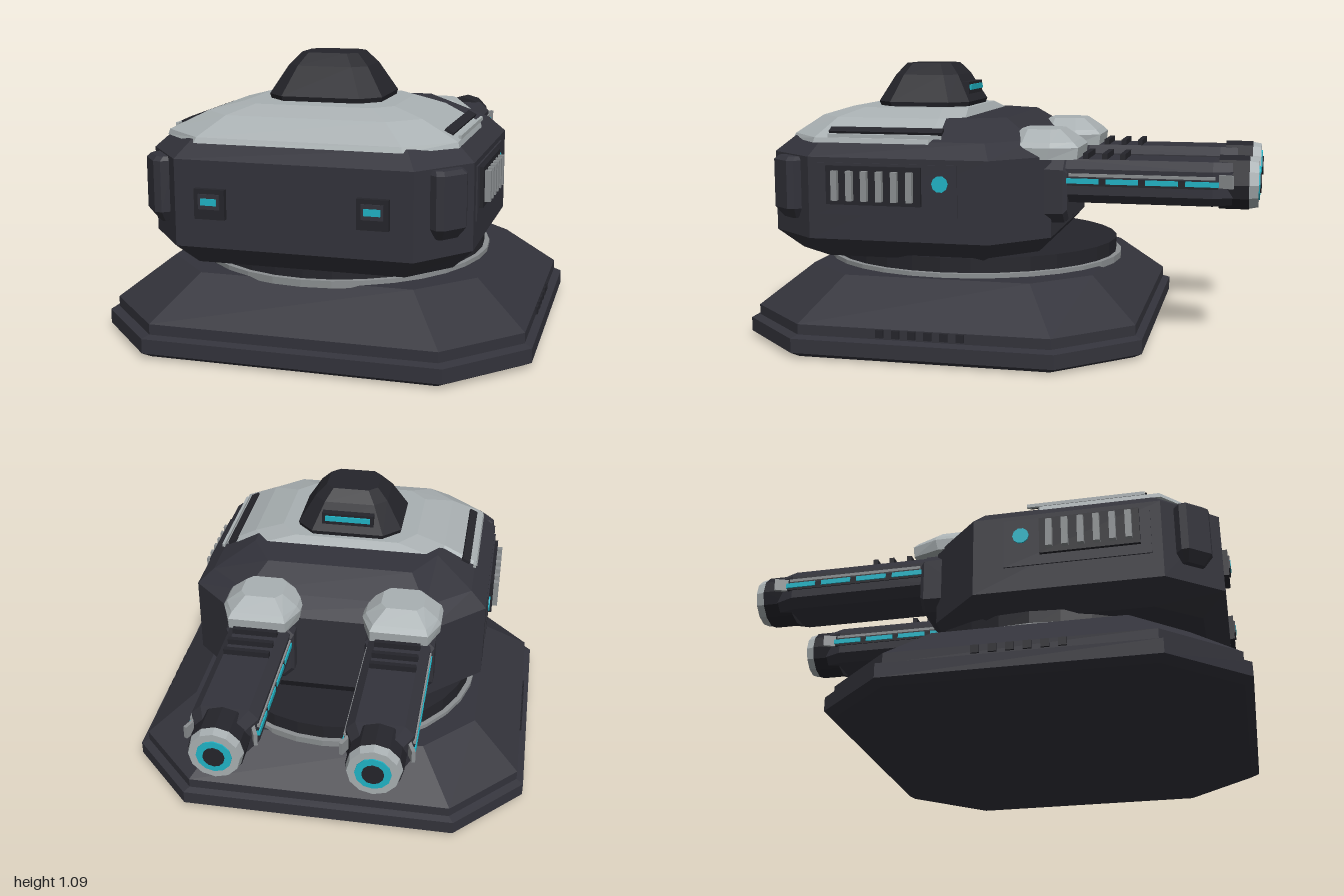
import * as THREE from 'three';

const mat = (name, color) => {
  const m = new THREE.MeshStandardMaterial({ color });
  m.name = name;
  m.flatShading = true;
  return m;
};

// Mirrored octagon: front edge (z zf, half width xf), sides at x, back edge (z zb, half width xb)
const oct = (y, x, xf, zf, zfc, zbc, zb, xb = xf) => {
  const half = [[xf, zf], [x, zfc], [x, zbc], [xb, zb]];
  const pts = [...half, ...half.slice().reverse().map(([a, b]) => [-a, b])];
  return pts.map(([a, b]) => [a, y, b]);
};
// Symmetric octagon about a centre z
const octS = (y, x, z, cut, cz = 0) => oct(y, x, x - cut, cz + z, cz + z - cut, cz - z + cut, cz - z);

// Closed solid through equal-length rings stacked upwards
function loft(rings) {
  const n = rings[0].length, idx = [], last = (rings.length - 1) * n;
  for (let r = 0; r < rings.length - 1; r++)
    for (let i = 0; i < n; i++) {
      const a = r * n + i, b = r * n + (i + 1) % n;
      idx.push(a, b, b + n, a, b + n, a + n);
    }
  for (let i = 1; i < n - 1; i++) idx.push(0, i + 1, i, last, last + i, last + i + 1);
  const g = new THREE.BufferGeometry();
  g.setAttribute('position', new THREE.Float32BufferAttribute(rings.flat(2), 3));
  g.setIndex(idx);
  const flat = g.toNonIndexed();
  flat.computeVertexNormals();
  return flat;
}

export function createModel() {
  const root = new THREE.Group();
  root.name = 'turret';
  const dark = mat('dark armour', 0x33333b);
  const trim = mat('dark trim', 0x25252b);
  const light = mat('light armour', 0xa9b0b2);
  const metal = mat('grey metal', 0x8b8f91);
  const glow = mat('cyan light', 0x20b4c6);

  const add = (parent, name, geo, m, x = 0, y = 0, z = 0) => {
    const mesh = new THREE.Mesh(geo, m);
    mesh.name = name;
    mesh.position.set(x, y, z);
    parent.add(mesh);
    return mesh;
  };
  const box = (parent, name, m, w, h, d, x, y, z) =>
    add(parent, name, new THREE.BoxGeometry(w, h, d), m, x, y, z);

  // Stepped base
  const baseRing = (y, s) => oct(y, 0.83 * s, 0.56 * s, 0.21 + 0.79 * s, 0.21 + 0.505 * s, 0.21 - 0.505 * s, 0.21 - 0.79 * s);
  add(root, 'base', loft([baseRing(0, 0.96), baseRing(0.02, 1), baseRing(0.075, 1),
    baseRing(0.085, 0.965), baseRing(0.125, 0.965), baseRing(0.28, 0.73)]), dark);

  // Turntable ring and deck, slightly longer than wide
  const disc = (name, m, r, y0, y1) => {
    const d = add(root, name, new THREE.CylinderGeometry(r, r, y1 - y0, 32), m, 0, (y0 + y1) / 2, 0.205);
    d.scale.z = 1.08;
  };
  disc('turntableRing', metal, 0.58, 0.27, 0.297);
  disc('turntableDeck', trim, 0.56, 0.29, 0.355);

  // Hull with raised rear hood
  add(root, 'hull', loft([
    oct(0.34, 0.53, 0.39, 0.84, 0.67, 0.04, -0.13, 0.34),
    oct(0.42, 0.61, 0.44, 0.93, 0.72, 0.0, -0.2, 0.4),
    oct(0.74, 0.61, 0.44, 0.93, 0.72, 0.0, -0.2, 0.4),
    oct(0.8, 0.545, 0.4, 0.86, 0.69, 0.03, -0.12, 0.37),
    oct(0.88, 0.39, 0.28, 0.7, 0.58, 0.16, 0.0, 0.3)]), dark);

  // Light roof shell
  add(root, 'roof', loft([
    oct(0.79, 0.555, 0.385, 0.875, 0.72, 0.25, 0.18, 0.45),
    oct(0.81, 0.55, 0.38, 0.865, 0.715, 0.25, 0.17, 0.4),
    oct(0.88, 0.41, 0.3, 0.775, 0.67, 0.25, 0.16, 0.34),
    oct(0.912, 0.29, 0.22, 0.675, 0.6, 0.27, 0.18, 0.22)]), light);

  // Cupola with rear viewing slit
  const cz = 0.39;
  add(root, 'cupola', loft([octS(0.9, 0.215, 0.185, 0.07, cz), octS(0.93, 0.222, 0.195, 0.07, cz),
    octS(1.04, 0.155, 0.135, 0.05, cz), octS(1.087, 0.11, 0.095, 0.035, cz)]), trim);
  box(root, 'cupolaSlitFrame', trim, 0.22, 0.05, 0.05, 0, 0.985, 0.233);
  box(root, 'cupolaSlit', glow, 0.19, 0.022, 0.008, 0, 0.988, 0.205);

  for (const s of [-1, 1]) {
    // Roof side slot with a light strip below it
    const slot = box(root, 'roofSlot', trim, 0.035, 0.012, 0.46, s * 0.507, 0.836, 0.435);
    slot.rotation.z = -s * 0.46;
    box(root, 'roofStrip', light, 0.012, 0.014, 0.46, s * 0.545, 0.818, 0.43);

    // Side panel, vent slats and round lamp
    box(root, 'sidePanel', dark, 0.012, 0.2, 0.56, s * 0.61, 0.62, 0.4);
    box(root, 'ventPanel', trim, 0.03, 0.15, 0.38, s * 0.615, 0.635, 0.45);
    for (let i = 0; i < 6; i++)
      box(root, 'ventSlat', metal, 0.026, 0.115, 0.024, s * 0.639, 0.635, 0.3 + i * 0.06);
    const lamp = add(root, 'sideLamp', new THREE.CylinderGeometry(0.032, 0.032, 0.02, 10), glow, s * 0.612, 0.648, 0.187);
    lamp.rotation.z = Math.PI / 2;

    // Front corner armour plate
    const corner = add(root, 'cornerPlate', loft([octS(-0.13, 0.045, 0.015, 0.01),
      octS(-0.09, 0.07, 0.045, 0.02), octS(0.1, 0.07, 0.045, 0.02), octS(0.115, 0.06, 0.03, 0.02)]),
      dark, s * 0.535, 0.62, 0.825);
    corner.rotation.y = s * Math.atan2(0.21, 0.17);

    // Front lamp
    box(root, 'frontLampFrame', trim, 0.115, 0.11, 0.03, s * 0.3, 0.585, 0.935);
    box(root, 'frontLampRecess', dark, 0.08, 0.055, 0.008, s * 0.3, 0.595, 0.952);
    box(root, 'frontLamp', glow, 0.06, 0.025, 0.008, s * 0.3, 0.595, 0.955);

    // Small vents along the base edge
    for (let i = 0; i < 6; i++)
      box(root, 'baseVent', trim, 0.016, 0.03, 0.03, s * 0.801, 0.107, 0.06 + i * 0.062);

    root.add(buildGun(s));
  }

  // One cannon, pointing to -z
  function buildGun(s) {
    const gun = new THREE.Group();
    gun.name = s > 0 ? 'leftCannon' : 'rightCannon';
    gun.position.set(s * 0.285, 0.645, 0);
    const alongZ = (name, rings, m, y = 0) => {
      const g = loft(rings);
      g.rotateX(-Math.PI / 2);
      return add(gun, name, g, m, 0, y, 0);
    };
    const tube = (name, m, r0, r1, z0, z1) => {
      const g = new THREE.CylinderGeometry(r1, r0, z1 - z0, 12);
      g.rotateX(-Math.PI / 2);
      add(gun, name, g, m, 0, 0, -(z0 + z1) / 2);
    };
    alongZ('cannonMount', [octS(0.05, 0.14, 0.13, 0.04), octS(0.25, 0.14, 0.125, 0.04), octS(0.265, 0.13, 0.11, 0.04)], dark, -0.04);
    alongZ('barrel', [octS(0.2, 0.125, 0.085, 0.035), octS(0.82, 0.125, 0.085, 0.035),
      octS(0.9, 0.09, 0.08, 0.03)], dark);

    // Light shroud over the barrel root
    add(gun, 'shroud', loft([
      oct(0.085, 0.155, 0.1, 0.0, -0.06, -0.19, -0.3, 0.115),
      oct(0.13, 0.158, 0.1, -0.01, -0.07, -0.2, -0.305, 0.115),
      oct(0.15, 0.145, 0.09, -0.03, -0.09, -0.2, -0.285, 0.105),
      oct(0.197, 0.085, 0.06, -0.07, -0.1, -0.19, -0.225, 0.06)]), light);

    // Ribs on top, rails and dashed lights on both sides
    for (const z of [-0.33, -0.405, -0.475]) box(gun, 'barrelRib', trim, 0.18, 0.035, 0.02, 0, 0.09, z);
    for (const e of [-1, 1]) {
      box(gun, 'barrelRail', metal, 0.014, 0.012, 0.56, e * 0.124, 0.027, -0.55);
      box(gun, 'lightChannel', trim, 0.014, 0.03, 0.58, e * 0.122, 0.0, -0.55);
      for (let i = 0; i < 4; i++)
        box(gun, 'barrelLight', glow, 0.012, 0.02, 0.125, e * 0.128, 0.004, -0.325 - i * 0.152);
      const clip = box(gun, 'muzzleClip', metal, 0.014, 0.05, 0.09, e * 0.113, 0.015, -0.855);
      clip.rotation.y = -e * 0.4;
    }

    // Muzzle
    tube('muzzleCollar', trim, 0.105, 0.105, 0.84, 0.955);
    tube('muzzleRing', light, 0.103, 0.095, 0.95, 0.99);
    tube('muzzleGlow', glow, 0.066, 0.066, 0.985, 0.995);
    tube('bore', trim, 0.04, 0.04, 0.99, 1.0);
    return gun;
  }

  return root;
}
